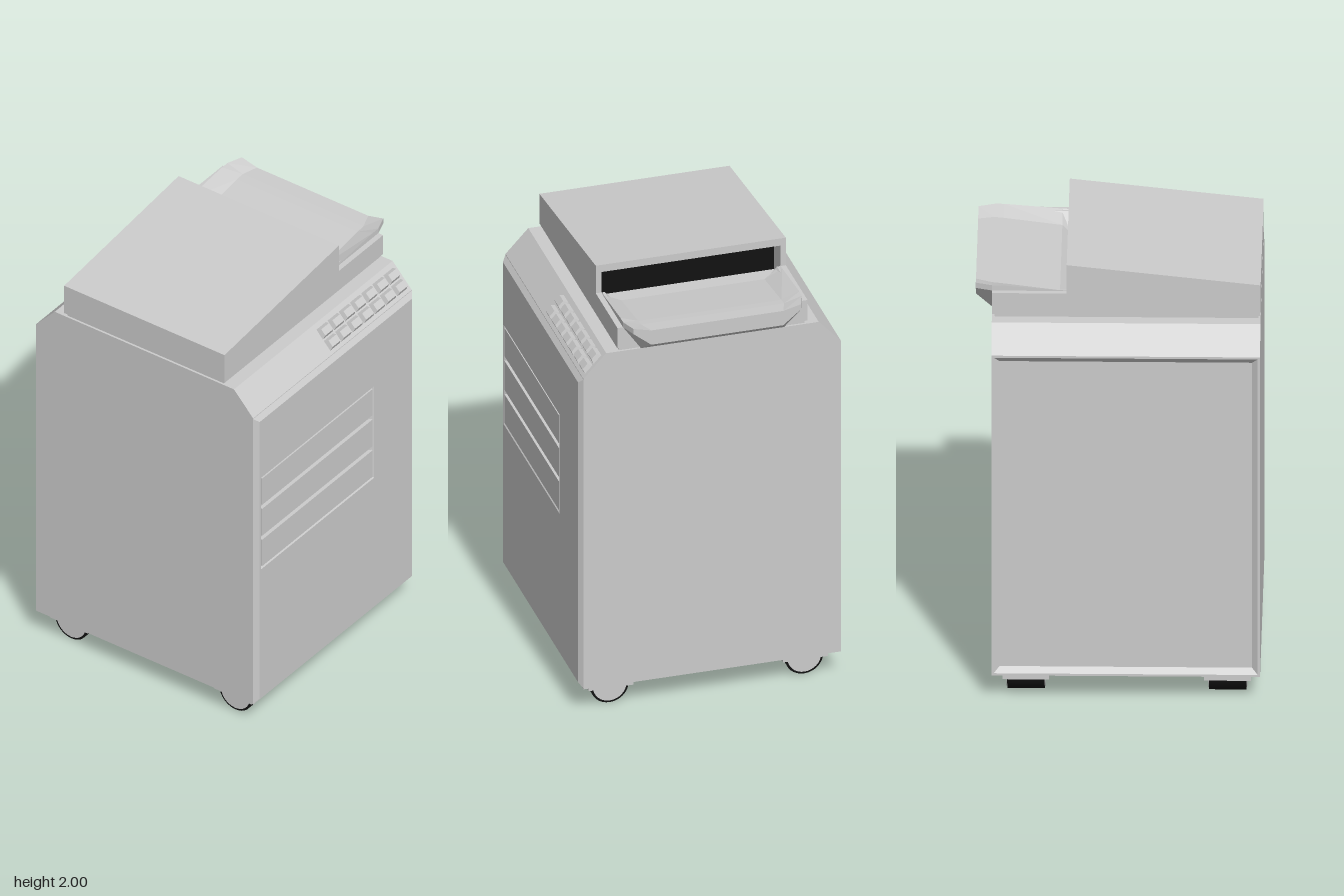
import * as THREE from 'three';

const grey = new THREE.MeshStandardMaterial({ color: 0xcccccc, flatShading: true });
const smoothGrey = new THREE.MeshStandardMaterial({ color: 0xcccccc });
const black = new THREE.MeshStandardMaterial({ color: 0x111111 });

// Shape from [x, y] pairs
const shapeOf = (pts) => new THREE.Shape(pts.map(([x, y]) => new THREE.Vector2(x, y)));

// XY outline swept from z0 to z1
function alongZ(pts, z0, z1) {
  return new THREE.ExtrudeGeometry(shapeOf(pts), { depth: z1 - z0, bevelEnabled: false }).translate(0, 0, z0);
}

// ZY outline swept from x0 to x1
function alongX(pts, x0, x1) {
  return alongZ(pts.map(([z, y]) => [-z, y]), x0, x1).rotateY(Math.PI / 2);
}

const rect = (x0, x1, y0, y1) => [[x0, y0], [x1, y0], [x1, y1], [x0, y1]];

// Skin through loops of points, with optional flat ends
function loft(loops, capStart, capEnd) {
  const pos = [];
  const quad = (a, b, c, d) => pos.push(...a, ...b, ...c, ...a, ...c, ...d);
  const n = loops[0].length;
  for (let k = 0; k < loops.length - 1; k++) {
    const A = loops[k], B = loops[k + 1];
    for (let i = 0; i < n; i++) {
      const j = (i + 1) % n;
      quad(A[i], A[j], B[j], B[i]);
    }
  }
  const S = loops[0], E = loops[loops.length - 1];
  for (let i = 0; i < n / 2 - 1; i++) {
    if (capStart) quad(S[n - 1 - i], S[n - 2 - i], S[i + 1], S[i]);
    if (capEnd) quad(E[i], E[i + 1], E[n - 2 - i], E[n - 1 - i]);
  }
  const g = new THREE.BufferGeometry();
  g.setAttribute('position', new THREE.Float32BufferAttribute(pos, 3));
  g.computeVertexNormals();
  return g;
}

export function createModel() {
  const model = new THREE.Group();
  model.name = 'photocopier';
  const add = (name, geometry, material = grey, parent = model) => {
    const m = new THREE.Mesh(geometry, material);
    m.name = name;
    parent.add(m);
    return m;
  };
  const box = (x0, x1, y0, y1, z0, z1) =>
    new THREE.BoxGeometry(x1 - x0, y1 - y0, z1 - z0)
      .translate((x0 + x1) / 2, (y0 + y1) / 2, (z0 + z1) / 2);

  // Cabinet with sloped shoulders
  add('cabinet', alongX([
    [-0.56, 0.12], [0.567, 0.12], [0.567, 1.64], [0.465, 1.75],
    [-0.485, 1.75], [-0.585, 1.64], [-0.56, 1.64],
  ], -0.61, 0.54));

  // Raised front panel, bevelled all round, with an opening for the drawers
  const front = shapeOf(rect(-0.588, 0.518, 0.147, 1.615));
  front.holes.push(new THREE.Path(rect(-0.578, 0.243, 0.827, 1.313).map(([x, y]) => new THREE.Vector2(x, y))));
  add('frontPanel', new THREE.ExtrudeGeometry(front, {
    depth: 0, bevelThickness: 0.018, bevelSize: 0.022, bevelSegments: 1,
  }).translate(0, 0, 0.567));

  // Paper drawers
  for (const [y0, y1] of [[0.838, 0.978], [1.0, 1.142], [1.165, 1.303]]) {
    add('paperDrawer', box(-0.568, 0.233, y0, y1, 0.55, 0.584));
  }

  // Back panel, sunk inside a bevelled rim
  const backLoop = (inset, z) => [
    [-0.61 + inset, 0.12 + inset, z], [-0.61 + inset, 1.64 - inset, z],
    [0.54 - inset, 1.64 - inset, z], [0.54 - inset, 0.12 + inset, z],
  ];
  add('backPanel', loft([
    backLoop(0, -0.56), backLoop(0, -0.585), backLoop(0.01, -0.585), backLoop(0.035, -0.565),
  ], false, true));

  // Control keys: two rows of tapered caps on the front slope
  const keyGeometry = new THREE.BoxGeometry(0.07, 0.052, 0.022);
  const kp = keyGeometry.attributes.position;
  for (let i = 0; i < kp.count; i++) {
    if (kp.getZ(i) > 0) kp.setXY(i, kp.getX(i) * 0.8, kp.getY(i) * 0.62);
  }
  keyGeometry.computeVertexNormals();
  const keys = new THREE.Group();
  keys.name = 'controlKeys';
  keys.position.set(0.243, 1.695, 0.516);
  keys.rotation.x = -Math.atan2(0.102, 0.11);
  model.add(keys);
  for (let col = -3; col <= 3; col++) {
    for (const row of [-1, 1]) {
      add('key', keyGeometry, grey, keys).position.set(col * 0.081, row * 0.029 - 0.003, 0.009);
    }
  }

  // Lid: narrow seam, side walls, and a core with the paper slot cut into its end
  add('lidSeam', box(-0.6, 0.53, 1.745, 1.77, -0.425, 0.405));
  const lidSide = [[-0.61, 1.765], [0.22, 1.765], [0.22, 2], [-0.61, 1.91]];
  add('lidBackWall', alongZ(lidSide, -0.435, -0.41));
  add('lidFrontWall', alongZ(lidSide, 0.39, 0.415));
  add('lidCore', alongZ([
    [-0.61, 1.765], [0.22, 1.765], [0.22, 1.8], [0.12, 1.8],
    [0.12, 1.965], [0.22, 1.965], [0.22, 2], [-0.61, 1.91],
  ], -0.41, 0.39));
  add('slotInterior', box(0.11, 0.125, 1.8, 1.965, -0.41, 0.39), black);

  // Low end of the lid that cradles the tray
  add('trayCradle', alongX([
    [0.415, 1.765], [0.415, 1.865], [0.375, 1.865], [0.295, 1.775],
    [-0.315, 1.775], [-0.395, 1.865], [-0.435, 1.865], [-0.435, 1.765],
  ], 0.22, 0.54));

  // Dished output tray; rim, skirt, floor and base heights at each station
  const trayLoop = ([x, rim, skirt, floor, base, half]) => {
    const z = -0.01, hb = half - 0.08;
    return [
      [x, skirt, z + half], [x, base, z + hb], [x, base, z - hb], [x, skirt, z - half],
      [x, rim, z - half], [x, floor, z - hb], [x, floor, z + hb], [x, rim, z + half],
    ];
  };
  add('outputTray', loft([
    [0.22, 1.868, 1.865, 1.8, 1.755, 0.4],
    [0.25, 1.869, 1.865, 1.83, 1.755, 0.4],
    [0.5, 1.89, 1.865, 1.862, 1.755, 0.4],
    [0.54, 1.89, 1.865, 1.866, 1.75, 0.4],
    [0.61, 1.89, 1.865, 1.87, 1.8, 0.375],
  ].map(trayLoop), true, true));

  // Casters: mounting plate, tyre and hub faces
  const tyre = new THREE.CylinderGeometry(0.085, 0.085, 0.16, 32).rotateZ(Math.PI / 2);
  const hub = new THREE.CylinderGeometry(0.075, 0.075, 0.166, 32).rotateZ(Math.PI / 2);
  for (const x of [-0.47, 0.393]) {
    for (const z of [-0.44, 0.43]) {
      const caster = new THREE.Group();
      caster.name = 'caster';
      caster.position.set(x, 0, z);
      model.add(caster);
      add('casterPlate', box(-0.1, 0.1, 0.08, 0.125, -0.1, 0.1), grey, caster);
      add('tyre', tyre, black, caster).position.y = 0.085;
      add('hub', hub, smoothGrey, caster).position.y = 0.085;
    }
  }
  return model;
}
